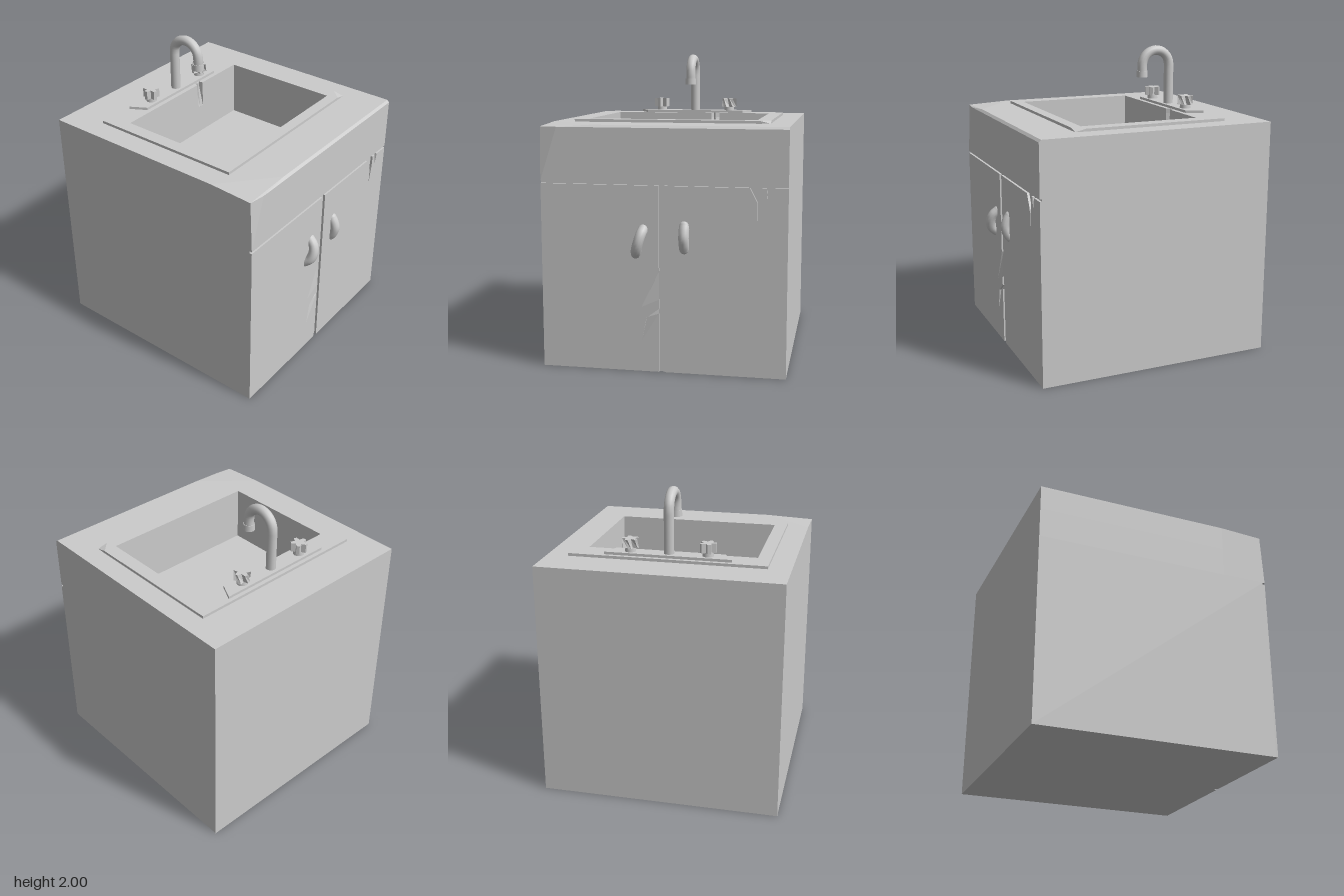
import * as THREE from 'three';

const grey = new THREE.MeshStandardMaterial({ color: 0xcccccc });
const faceted = new THREE.MeshStandardMaterial({ color: 0xcccccc, flatShading: true, side: THREE.DoubleSide });

function add(parent, name, geometry, material = grey) {
  const mesh = new THREE.Mesh(geometry, material);
  mesh.name = name;
  parent.add(mesh);
  return mesh;
}

const polygon = (pts) => new THREE.Shape(pts.map(([x, y]) => new THREE.Vector2(x, y)));

// Horizontal slab from a plan outline of [x, z] points; rule(v) may shift vertices.
// The hole runs against the outline so that its walls face inwards.
function slab(outline, y0, y1, hole, rule) {
  const flip = (pts) => pts.map(([x, z]) => [x, -z]);
  const shape = polygon(flip(outline));
  if (hole) shape.holes.push(polygon(flip(hole).reverse()));
  const g = new THREE.ExtrudeGeometry(shape, { depth: y1 - y0, bevelEnabled: false });
  g.rotateX(-Math.PI / 2).translate(0, y0, 0);
  if (rule) {
    const p = g.attributes.position, v = new THREE.Vector3();
    for (let i = 0; i < p.count; i++) {
      rule(v.fromBufferAttribute(p, i));
      p.setXYZ(i, v.x, v.y, v.z);
    }
    g.computeVertexNormals();
  }
  return g;
}

// Door panel on the +x side; points are [-z, y]
function panel(pts) {
  const g = new THREE.ExtrudeGeometry(polygon(pts), { depth: 0.015, bevelEnabled: false });
  return g.rotateY(Math.PI / 2).translate(0.739, 0, 0);
}

// Triangles from named corner points
function facets(points, faces) {
  const g = new THREE.BufferGeometry();
  const pos = faces.flatMap((f) => [...f].flatMap((k) => points[k]));
  g.setAttribute('position', new THREE.Float32BufferAttribute(pos, 3));
  g.computeVertexNormals();
  return g;
}

// Bean-shaped pull between two [y, z] ends, bulging out to x = reach
function handle(parent, name, top, bottom, reach) {
  const group = new THREE.Group();
  group.name = name;
  const steps = [[0, 0.742], [0.2, reach - 0.012], [0.5, reach], [0.8, reach - 0.012], [1, 0.742]];
  const path = new THREE.CatmullRomCurve3(steps.map(([t, x]) => new THREE.Vector3(
    x, THREE.MathUtils.lerp(top[0], bottom[0], t), THREE.MathUtils.lerp(top[1], bottom[1], t))));
  add(group, 'grip', new THREE.TubeGeometry(path, 12, 0.033, 12));
  for (const [y, z] of [top, bottom]) {
    add(group, 'gripEnd', new THREE.SphereGeometry(0.033, 12, 8)).position.set(0.742, y, z);
  }
  parent.add(group);
}

// Five-lobed tap on a short round stem; the foot of the star can be twisted
function tap(parent, name, z, turn, twist) {
  const group = new THREE.Group();
  group.name = name;
  add(group, 'stem', new THREE.CylinderGeometry(0.034, 0.037, 0.035, 12)).position.y = 0.01;
  const pts = [];
  for (let i = 0; i < 5; i++) {
    const a = (i / 5) * Math.PI * 2 + turn;
    for (const [da, r] of [[-0.2, 0.054], [0.2, 0.054], [0.63, 0.029]]) {
      pts.push([r * Math.cos(a + da), r * Math.sin(a + da)]);
    }
  }
  const up = new THREE.Vector3(0, 1, 0);
  add(group, 'star', slab(pts, 0.025, 0.085, null, (v) => {
    if (v.y < 0.05) v.applyAxisAngle(up, twist);
  }));
  group.position.set(-0.482, 1.595, z);
  parent.add(group);
}

export function createModel() {
  const model = new THREE.Group();

  // Cabinet core; its top is the basin floor
  const core = new THREE.BoxGeometry(1.56, 1.205, 1.56).translate(-0.041, 0.6025, 0);
  add(model, 'cabinetCore', core);

  // Basin opening with a split in one wall that closes further down
  const basin = [[-0.4, -0.55], [0.4, -0.55], [0.4, 0.55], [-0.4, 0.55]];
  const splitBasin = [...basin,
    [-0.4, -0.13], [-0.428, -0.145], [-0.415, -0.16], [-0.428, -0.185], [-0.4, -0.19]];

  // Counter block, with a bevelled edge above the doors
  const plan = [[-0.821, -0.78], [0.754, -0.78], [0.754, 0.45], [0.45, 0.78], [-0.821, 0.78]];
  add(model, 'counterBase', slab(plan, 1.205, 1.4, basin));
  add(model, 'counterBlock', slab(plan, 1.4, 1.545, splitBasin, (v) => {
    if (v.y < 1.41 && v.x < -0.4 && v.x > -0.44) v.x = -0.4;
  }));
  add(model, 'counterTop', slab(plan, 1.545, 1.56, splitBasin, (v) => {
    if (v.y > 1.55 && v.x > 0.7) v.x = 0.739;
  }));

  // Worn, pushed-in counter corner
  const corner = {
    A: [0.739, 1.56, 0.45], D: [0.754, 1.545, 0.45], E: [0.754, 1.205, 0.45],
    B: [0.45, 1.56, 0.78], F: [0.45, 1.205, 0.78],
    C: [0.739, 1.546, 0.78], G: [0.754, 1.205, 0.78], P: [0.754, 1.545, 0.67],
  };
  add(model, 'wornCorner', facets(corner,
    ['ABC', 'ACP', 'APD', 'DPE', 'PGE', 'PCG', 'BFG', 'BGC', 'EGF']), faceted);

  // Two cracked doors
  add(model, 'leftDoor', panel([[-0.78, 0], [-0.02, 0], [-0.02, 0.38], [-0.13, 0.2],
    [-0.1, 0.35], [-0.02, 0.41], [-0.02, 0.47], [-0.13, 0.42], [-0.02, 0.65],
    [-0.02, 1.19], [-0.78, 1.19]]));
  add(model, 'rightDoor', panel([[0.015, 0], [0.78, 0], [0.78, 1.19], [0.675, 1.19], [0.655, 1.11],
    [0.647, 1.19], [0.62, 1.19], [0.615, 1.11], [0.594, 0.985], [0.592, 1.1], [0.546, 1.19], [0.015, 1.19]]));

  // Dented wood sloping into the cracks of the left door
  const dents = {
    A: [0.741, 0.65, 0.02], B: [0.754, 0.42, 0.13], C: [0.754, 0.47, 0.02],
    D: [0.741, 0.41, 0.02], E: [0.741, 0.35, 0.1], F: [0.754, 0.2, 0.13], G: [0.754, 0.38, 0.02],
  };
  add(model, 'doorDents', facets(dents, ['ABC', 'EFG', 'EGD']), faceted);

  handle(model, 'leftHandle', [0.915, 0.12], [0.758, 0.168], 0.789);
  handle(model, 'rightHandle', [0.943, -0.14], [0.797, -0.14], 0.772);

  // Sink rim with one corner bent down, and the faucet plate
  const rim = [[-0.561, -0.64], [0.4, -0.64], [0.472, -0.57], [0.472, 0.635], [-0.561, 0.635]];
  add(model, 'sinkRim', slab(rim, 1.56, 1.578, splitBasin));
  const bent = {
    A: [0.4, 1.578, -0.64], B: [0.472, 1.578, -0.57], C: [0.472, 1.562, -0.64],
    D: [0.4, 1.56, -0.64], E: [0.472, 1.56, -0.57],
  };
  add(model, 'bentRimCorner', facets(bent, ['ABC', 'ACD', 'BEC']), faceted);
  add(model, 'faucetPlate', slab(
    [[-0.535, -0.41], [-0.43, -0.355], [-0.43, 0.35], [-0.535, 0.41]], 1.578, 1.595));

  // Gooseneck faucet
  const points = [[-0.481, 1.59], [-0.481, 1.72], [-0.481, 1.82]];
  for (let i = 0; i <= 8; i++) {
    const a = Math.PI * (1 - i / 8);
    points.push([-0.379 + 0.102 * Math.cos(a), 1.864 + 0.102 * Math.sin(a)]);
  }
  points.push([-0.277, 1.82]);
  const path = new THREE.CatmullRomCurve3(points.map(([x, y]) => new THREE.Vector3(x, y, 0)));
  add(model, 'spout', new THREE.TubeGeometry(path, 32, 0.033, 12));
  add(model, 'nozzle', new THREE.CylinderGeometry(0.037, 0.039, 0.042, 12)).position.set(-0.277, 1.807, 0);

  // Taps
  tap(model, 'leftTap', 0.25, 0.3, 0);
  tap(model, 'rightTap', -0.25, 0.9, 0.45);

  return model;
}
